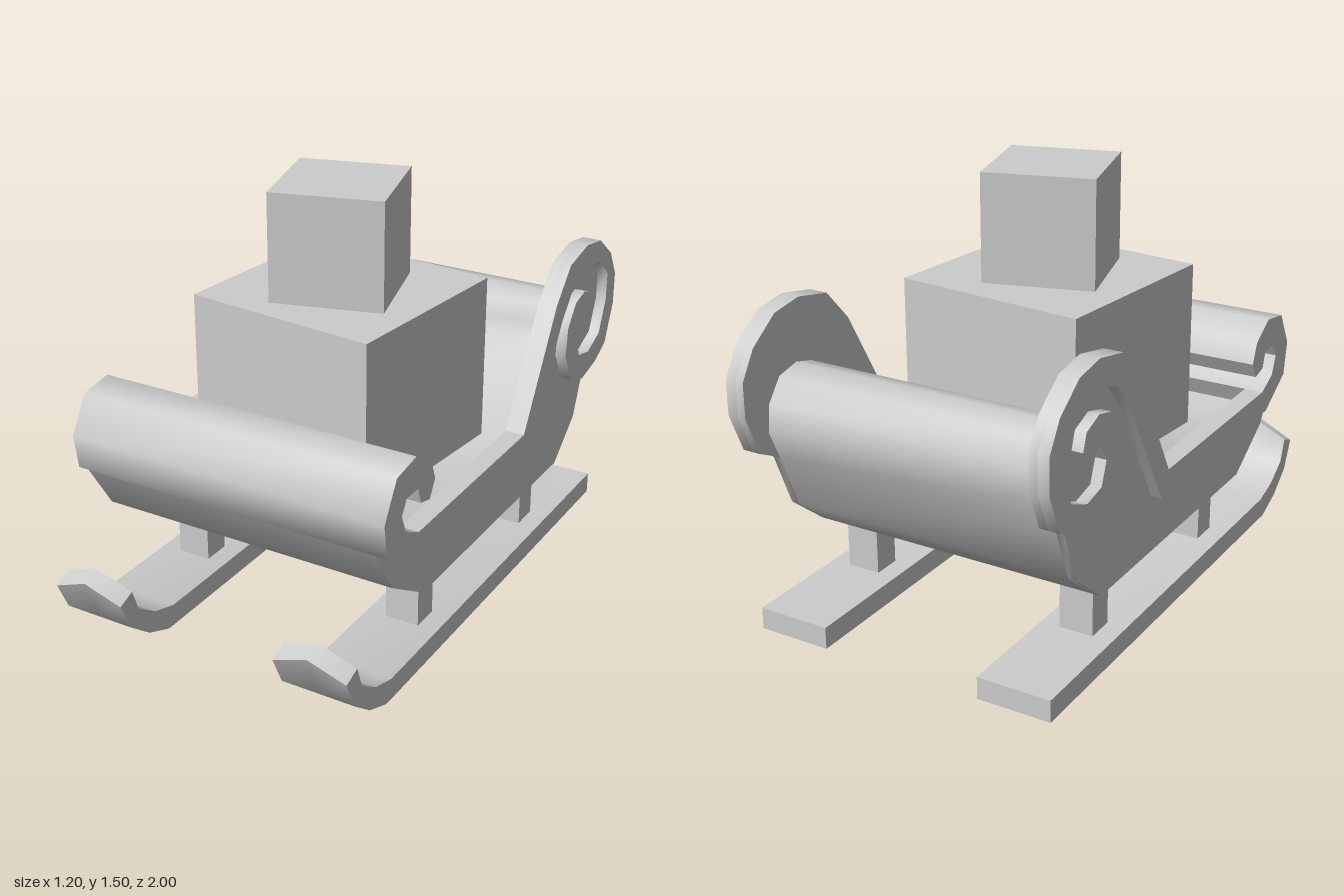
import * as THREE from 'three';
import { toCreasedNormals } from 'three/addons/utils/BufferGeometryUtils.js';

const grey = new THREE.MeshStandardMaterial({ color: 0xcccccc });
grey.name = 'plain grey';

// Extrude a side profile of [z, y] points across x from x0 to x1
function extrudeProfile(points, x0, x1, steps = 1) {
  const shape = new THREE.Shape(points.map(([z, y]) => new THREE.Vector2(z, y)));
  const geometry = new THREE.ExtrudeGeometry(shape, { depth: x1 - x0, steps, bevelEnabled: false });
  return geometry.rotateY(-Math.PI / 2).translate(x1, 0, 0);
}

function addMesh(parent, name, geometry) {
  const mesh = new THREE.Mesh(geometry, grey);
  mesh.name = name;
  parent.add(mesh);
  return mesh;
}

const smooth = (geometry) => toCreasedNormals(geometry, 0.9);

// Hull underside, from the front lip to the back
const hull = [[0.79, 0.585], [0.68, 0.41], [0.47, 0.28], [-0.6, 0.28], [-0.76, 0.41], [-0.84, 0.61]];

// Seat floor, sloping backrest and rounded back roll
const seat = [
  [-0.89, 0.72], [-0.88, 0.82], [-0.82, 0.9], [-0.73, 0.92], [-0.65, 0.9], [-0.6, 0.85],
  [-0.59, 0.77], [-0.3, 0.5], [0.6, 0.5],
];

// Rolled front lip
const frontCurl = [
  [0.63, 0.49], [0.79, 0.585], [0.81, 0.71], [0.735, 0.84], [0.61, 0.86], [0.51, 0.8], [0.48, 0.725],
  [0.515, 0.665], [0.575, 0.68], [0.595, 0.74], [0.67, 0.74], [0.7, 0.69], [0.67, 0.62], [0.585, 0.58],
];

// Upper rim of the side, up the slope and round the back scroll
const rim = [
  [0.585, 0.58], [-0.205, 0.58], [-0.44, 0.99], [-0.55, 1.11], [-0.7, 1.14], [-0.825, 1.12],
  [-0.94, 1.035], [-1, 0.935], [-1, 0.81], [-0.94, 0.665], [-0.85, 0.62],
];

// Spiral continuing inwards, then back out along the inner edge of the band
const spiral = [
  [-0.73, 0.595], [-0.62, 0.63], [-0.55, 0.75], [-0.56, 0.86], [-0.62, 0.94], [-0.7, 0.96],
  [-0.78, 0.93], [-0.8, 0.87], [-0.725, 0.84], [-0.69, 0.85], [-0.65, 0.79], [-0.68, 0.71],
  [-0.77, 0.69], [-0.87, 0.73], [-0.92, 0.85], [-0.92, 0.96], [-0.84, 1.03], [-0.71, 1.055],
  [-0.585, 1.01], [-0.5, 0.91], [-0.25, 0.49], [0.63, 0.49],
];

const skiProfile = [
  [-0.94, 0], [0.73, 0], [0.84, 0.045], [0.935, 0.12], [1, 0.285],
  [0.935, 0.31], [0.89, 0.17], [0.8, 0.11], [0.7, 0.08], [-0.94, 0.08],
];

// Ski with an upturned tip that comes to a point in the middle
function skiGeometry() {
  const geometry = extrudeProfile(skiProfile, -0.135, 0.135, 2);
  const p = geometry.attributes.position;
  for (let i = 0; i < p.count; i++) {
    if (p.getY(i) > 0.2 && Math.abs(p.getX(i)) > 0.01) {
      p.setY(i, p.getY(i) - 0.057);
      p.setZ(i, p.getZ(i) - 0.015);
    }
  }
  return smooth(geometry);
}

export function createModel() {
  const model = new THREE.Group();
  model.name = 'sleigh';

  addMesh(model, 'seatBody', smooth(extrudeProfile([...hull, ...seat], -0.53, 0.53)));
  addMesh(model, 'frontCurl', smooth(extrudeProfile(frontCurl, -0.6, 0.6)));

  for (const [label, side] of [['left', 1], ['right', -1]]) {
    const across = (points, inner, outer) =>
      smooth(extrudeProfile(points, Math.min(side * inner, side * outer), Math.max(side * inner, side * outer)));

    // Side wall with its raised scroll band
    addMesh(model, label + 'SidePanel', across([...rim, ...[...hull].reverse()], 0.53, 0.56));
    addMesh(model, label + 'ScrollTrim', across([...rim, ...spiral], 0.56, 0.6));

    // Ski and its two posts
    addMesh(model, label + 'Ski', skiGeometry()).position.x = side * 0.435;
    for (const [name, z] of [['FrontPost', 0.33], ['BackPost', -0.485]]) {
      addMesh(model, label + name, new THREE.BoxGeometry(0.125, 0.2, 0.105))
        .position.set(side * 0.435, 0.18, z);
    }
  }

  // Two stacked parcels, each turned a little
  const largeBox = addMesh(model, 'largeParcel', new THREE.BoxGeometry(0.727, 0.61, 0.727));
  largeBox.position.set(-0.003, 0.805, 0.038);
  largeBox.rotation.y = -0.102;

  const smallBox = addMesh(model, 'smallParcel', new THREE.BoxGeometry(0.4, 0.39, 0.4));
  smallBox.position.set(-0.002, 1.305, 0.05);
  smallBox.rotation.y = 0.278;

  return model;
}
